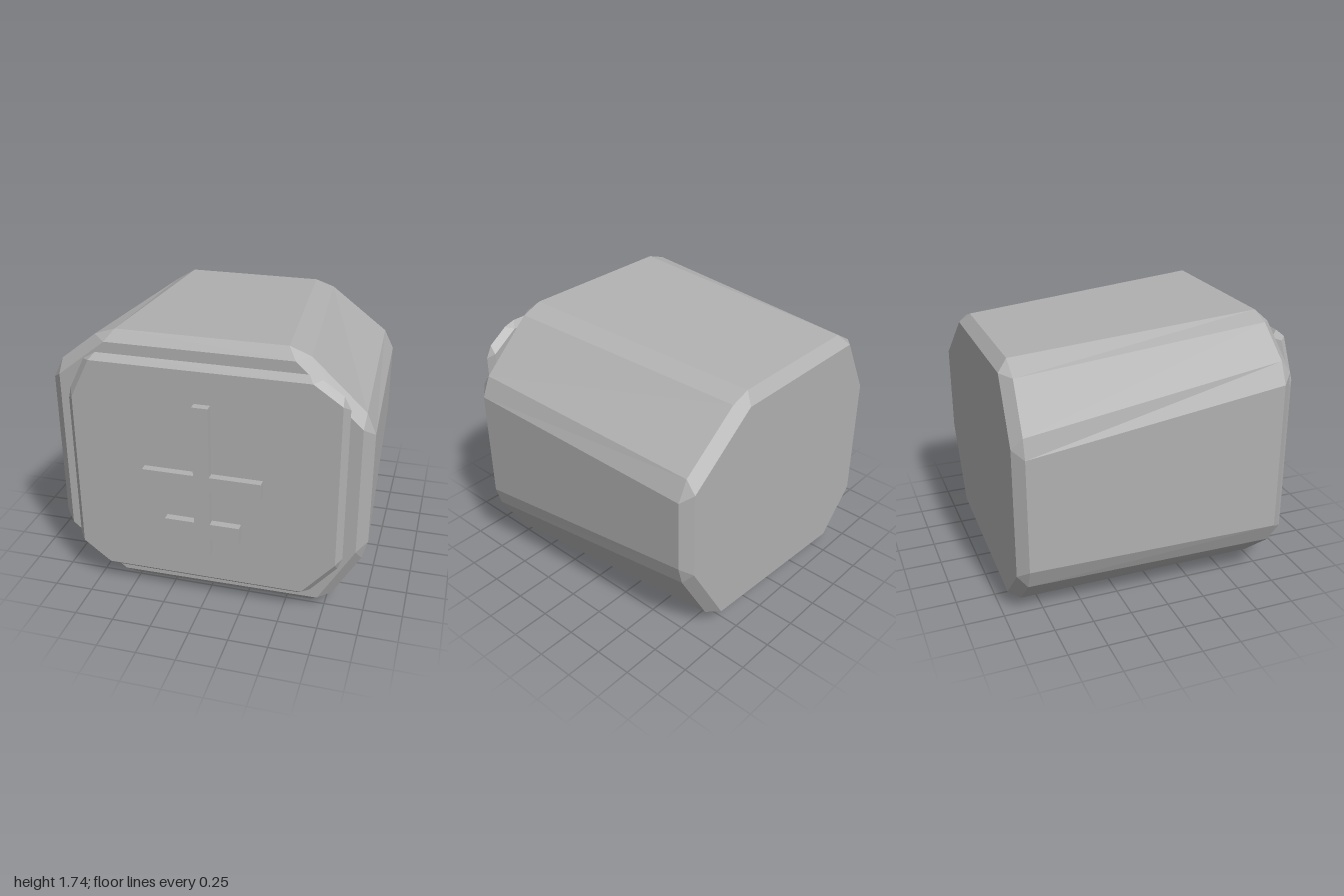
import * as THREE from 'three';

// Splits each corner of a counter-clockwise outline in two and pushes its sides outwards.
function chamferRing(points, offset, pull, z) {
  const ring = [];
  const count = points.length;
  const direction = (a, b) => {
    const length = Math.hypot(b[0] - a[0], b[1] - a[1]);
    return [(b[0] - a[0]) / length, (b[1] - a[1]) / length];
  };
  points.forEach((p, i) => {
    const before = direction(points[(i + count - 1) % count], p);
    const after = direction(p, points[(i + 1) % count]);
    for (const [d, along] of [[before, -pull], [after, pull]]) {
      ring.push([p[0] + offset * d[1] + along * d[0], p[1] - offset * d[0] + along * d[1], z]);
    }
  });
  return ring;
}

// Solid between two outlines with bevelled rims and small corner facets.
function bevelledBlock(frontOutline, backOutline, zFront, zBack, offset, pull, bevel) {
  const out = [];
  const face = (...corners) => {
    for (let i = 1; i < corners.length - 1; i++) out.push(...corners[0], ...corners[i], ...corners[i + 1]);
  };
  const n = frontOutline.length;
  const makeEnd = (outline, zCap, zRing, flip) => {
    const cap = outline.map(([x, y]) => [x, y, zCap]);
    const ring = chamferRing(outline, offset, pull, zRing);
    const add = (...corners) => face(...(flip ? corners.reverse() : corners));
    add(...cap);
    for (let i = 0; i < n; i++) {
      const j = (i + 1) % n;
      add(cap[i], ring[2 * i], ring[2 * i + 1]);
      add(cap[i], ring[2 * i + 1], ring[2 * j], cap[j]);
    }
    return ring;
  };
  const front = makeEnd(frontOutline, zFront, zFront - bevel, false);
  const back = makeEnd(backOutline, zBack, zBack + bevel, true);
  // Side walls, left out when the two rims meet
  if (zFront - zBack > 2 * bevel + 0.001) {
    for (let i = 0; i < 2 * n; i++) {
      const j = (i + 1) % (2 * n);
      face(front[i], back[i], back[j], front[j]);
    }
  }
  const geometry = new THREE.BufferGeometry();
  geometry.setAttribute('position', new THREE.Float32BufferAttribute(out, 3));
  geometry.computeVertexNormals();
  return geometry;
}

export function createModel() {
  const model = new THREE.Group();
  model.name = 'carvedStoneBlock';
  const stone = new THREE.MeshStandardMaterial({ color: 0xb0b0b0 });
  stone.name = 'stone grey';

  const add = (name, geometry) => {
    const mesh = new THREE.Mesh(geometry, stone);
    mesh.name = name;
    model.add(mesh);
    return mesh;
  };

  // Uneven eight-sided body, narrowing to the back
  const bodyFront = [
    [-0.63, 1.68], [-0.935, 1.44], [-0.935, 0.375], [-0.58, 0.07],
    [0.71, 0.08], [0.935, 0.465], [0.935, 1.3], [0.53, 1.68],
  ];
  const bodyBack = [
    [-0.65, 1.57], [-0.855, 1.18], [-0.855, 0.34], [-0.59, 0.065],
    [0.58, 0.145], [0.855, 0.63], [0.855, 1.21], [0.38, 1.57],
  ];
  add('body', bevelledBlock(bodyFront, bodyBack, 0.8, -0.935, 0.065, 0.05, 0.065));

  // Thin bevelled plate on the front
  const plate = [
    [-0.7, 1.59], [-0.825, 1.34], [-0.825, 0.305], [-0.65, 0.17],
    [0.62, 0.17], [0.825, 0.405], [0.825, 1.47], [0.65, 1.59],
  ];
  add('frontPlate', bevelledBlock(plate, plate, 0.885, 0.8, 0.038, 0.03, 0.0425));

  // Raised relief: an upright with two crossbars
  const relief = new THREE.Shape([
    [-0.05, 0.37], [0.05, 0.37], [0.05, 0.49], [0.235, 0.49], [0.235, 0.6], [0.05, 0.6],
    [0.05, 0.83], [0.37, 0.83], [0.37, 0.93], [0.05, 0.93], [0.05, 1.385], [-0.05, 1.385],
    [-0.05, 0.93], [-0.375, 0.93], [-0.375, 0.83], [-0.05, 0.83], [-0.05, 0.6],
    [-0.24, 0.6], [-0.24, 0.49], [-0.05, 0.49],
  ].map(([x, y]) => new THREE.Vector2(x, y)));
  add('raisedBars', new THREE.ExtrudeGeometry(relief, { depth: 0.055, bevelEnabled: false }))
    .position.z = 0.88;

  return model;
}
